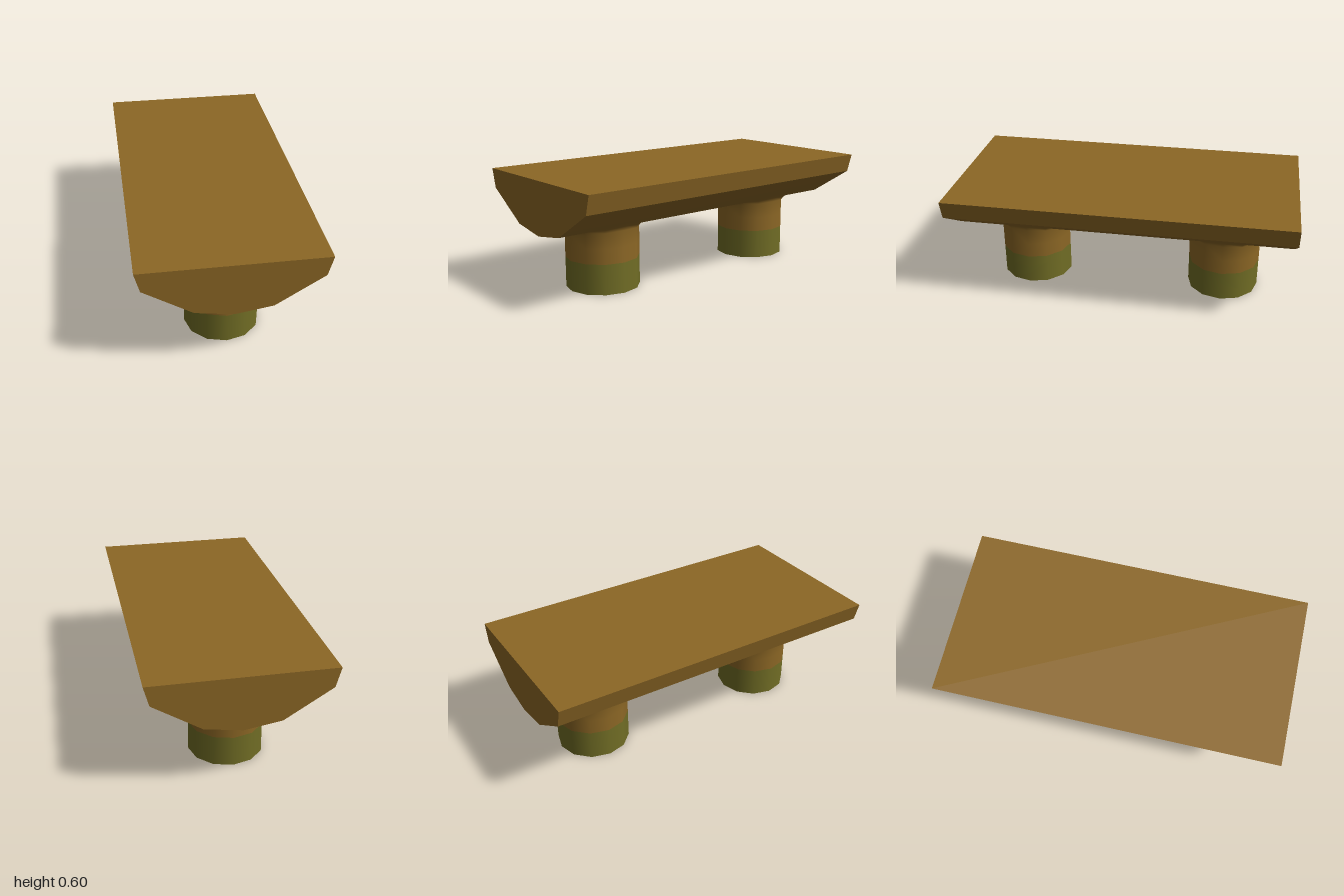
import * as THREE from 'three';
import { toCreasedNormals } from 'three/addons/utils/BufferGeometryUtils.js';

const LENGTH = 1.826, RADIUS = 0.194, SPLIT = 0.16;

// Half cross-section of the slab: half width, height
const PROFILE = [[0, 0.32], [0.189, 0.35], [0.431, 0.5], [0.458, 0.6]];

// Height of the slab's underside at a distance from its centre line
function underside(x) {
  const a = Math.abs(x);
  return a < 0.189 ? 0.32 + 0.03 * a / 0.189 : 0.35 + 0.15 * (a - 0.189) / 0.242;
}

export function createModel() {
  const brown = new THREE.MeshStandardMaterial({ color: 0x8c6725 });
  brown.name = 'brown';
  const olive = new THREE.MeshStandardMaterial({ color: 0x716d25 });
  olive.name = 'olive';

  const model = new THREE.Group();
  model.name = 'bench';
  const add = (parent, name, geometry, material) => {
    const mesh = new THREE.Mesh(geometry, material);
    mesh.name = name;
    parent.add(mesh);
    return mesh;
  };

  // Seat slab: flat top, faceted belly, upright ends
  const mirrored = PROFILE.slice(1).reverse().map(([x, y]) => [-x, y]);
  const outline = [...mirrored, ...PROFILE].map(([x, y]) => new THREE.Vector2(x, y));
  const slab = new THREE.ExtrudeGeometry(new THREE.Shape(outline), { depth: LENGTH, bevelEnabled: false });
  slab.translate(0, 0, -LENGTH / 2);
  add(model, 'seat', toCreasedNormals(slab, 0.6), brown);

  // Two round legs, flared where they meet the belly
  for (const [name, z] of [['frontLeg', 0.538], ['backLeg', -0.538]]) {
    const leg = new THREE.Group();
    leg.name = name;
    leg.position.z = z;
    model.add(leg);

    const foot = new THREE.CylinderGeometry(RADIUS, RADIUS, SPLIT, 12);
    foot.translate(0, SPLIT / 2, 0);
    add(leg, name + 'Foot', foot, olive);

    const profile = [[RADIUS, SPLIT], [RADIUS, 0.24], [RADIUS, 0.295], [0.205, 0.311], [0.228, 0.321]];
    const neck = new THREE.LatheGeometry(profile.map(([r, y]) => new THREE.Vector2(r, y)), 12);
    const p = neck.attributes.position;
    for (let i = 0; i < p.count; i++) {
      if (p.getY(i) > 0.27) p.setY(i, p.getY(i) + underside(p.getX(i)) - 0.32);
    }
    add(leg, name + 'Neck', neck, brown);
  }

  model.rotation.y = Math.PI / 12;
  return model;
}
